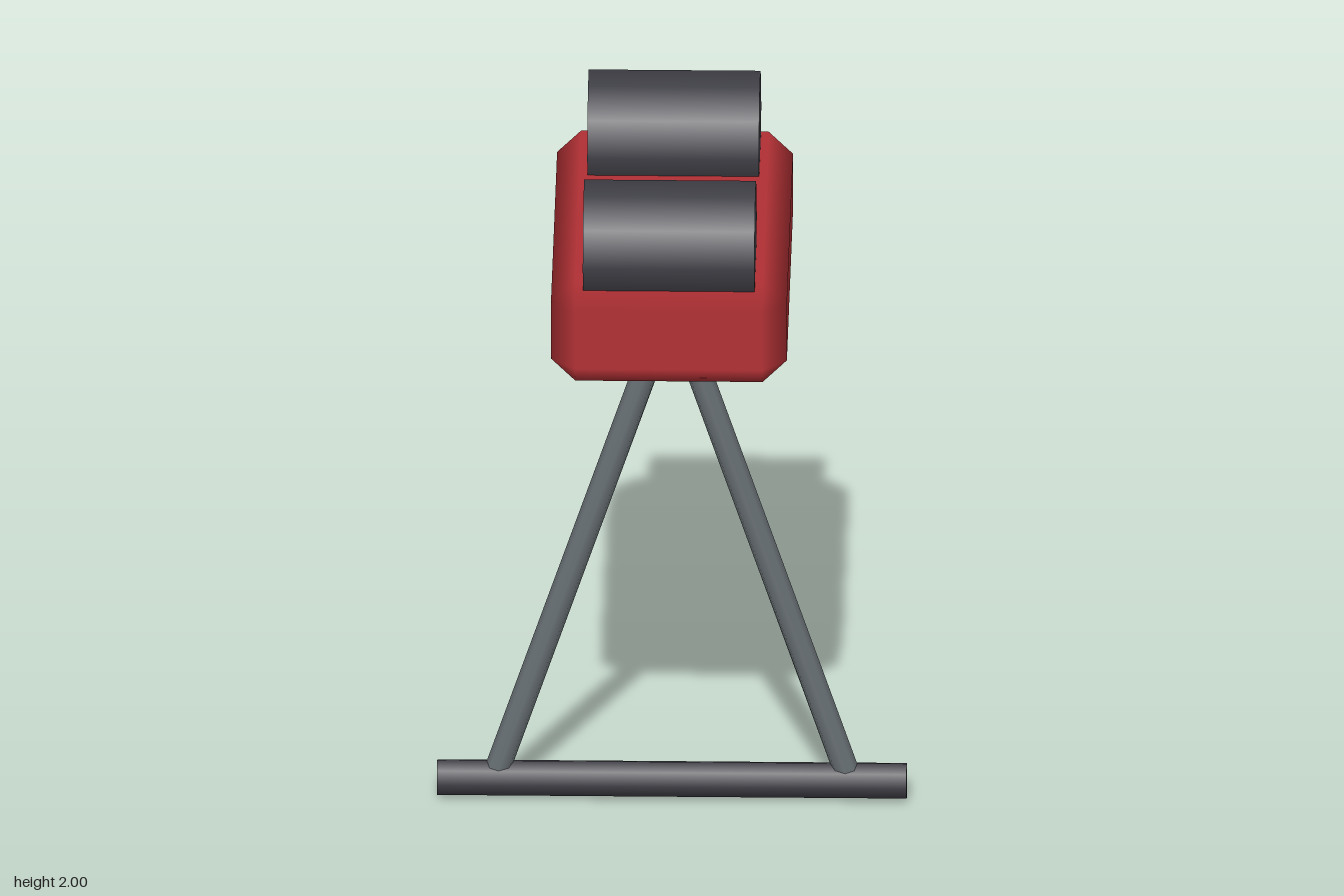
import * as THREE from 'three';
import { ConvexGeometry } from 'three/addons/geometries/ConvexGeometry.js';

const material = (name, color) => {
  const m = new THREE.MeshStandardMaterial({ color });
  m.name = name;
  return m;
};

// Chamfered box whose flat sides keep straight normals while the bevels shade smoothly
function bevelledBox(half, bevel) {
  const points = [];
  for (let axis = 0; axis < 3; axis++)
    for (const sx of [-1, 1]) for (const sy of [-1, 1]) for (const sz of [-1, 1]) {
      const signs = [sx, sy, sz];
      points.push(new THREE.Vector3(...signs.map((s, i) => s * (half[i] - (i === axis ? 0 : bevel)))));
    }
  const geometry = new ConvexGeometry(points);
  const pos = geometry.attributes.position, nor = geometry.attributes.normal;
  for (let i = 0; i < pos.count; i++) {
    const p = [pos.getX(i), pos.getY(i), pos.getZ(i)];
    nor.setXYZ(i, ...p.map((v, k) => (Math.abs(v) > half[k] - bevel / 2 ? Math.sign(v) : 0)));
  }
  return geometry;
}

// Smooth prism running between two points
function bar(from, to, radius, sides) {
  const a = new THREE.Vector3(...from), b = new THREE.Vector3(...to);
  const geometry = new THREE.CylinderGeometry(radius, radius, a.distanceTo(b), sides);
  const dir = b.clone().sub(a).normalize();
  geometry.applyQuaternion(new THREE.Quaternion().setFromUnitVectors(new THREE.Vector3(0, 1, 0), dir));
  const mid = a.add(b).multiplyScalar(0.5);
  geometry.translate(mid.x, mid.y, mid.z);
  return geometry;
}

export function createModel() {
  const group = new THREE.Group();
  const red = material('red padding', 0xb03034);
  const dark = material('dark rubber', 0x3e3e45);
  const steel = material('grey steel', 0x687074);
  const add = (name, geometry, mat) => {
    const mesh = new THREE.Mesh(geometry, mat);
    mesh.name = name;
    group.add(mesh);
    return mesh;
  };

  // Main block
  add('body', bevelledBox([0.32, 0.15, 0.532], 0.066), red).position.y = 1.63;

  // Two ten-sided rollers sunk into the top
  for (const [name, z] of [['frontRoller', 0.34], ['backRoller', -0.34]])
    add(name, bar([-0.233, 1.838, z], [0.233, 1.838, z], 0.17, 10), dark);

  // A-shaped legs
  for (const [name, s] of [['leftLeg', 1], ['rightLeg', -1]])
    add(name, bar([s * 0.478, 0.065, 0], [s * 0.004, 1.49, 0], 0.035, 8), steel);

  // Foot bar
  add('footBar', bar([-0.637, 0.052, 0], [0.637, 0.052, 0], 0.051, 8), dark);

  return group;
}
